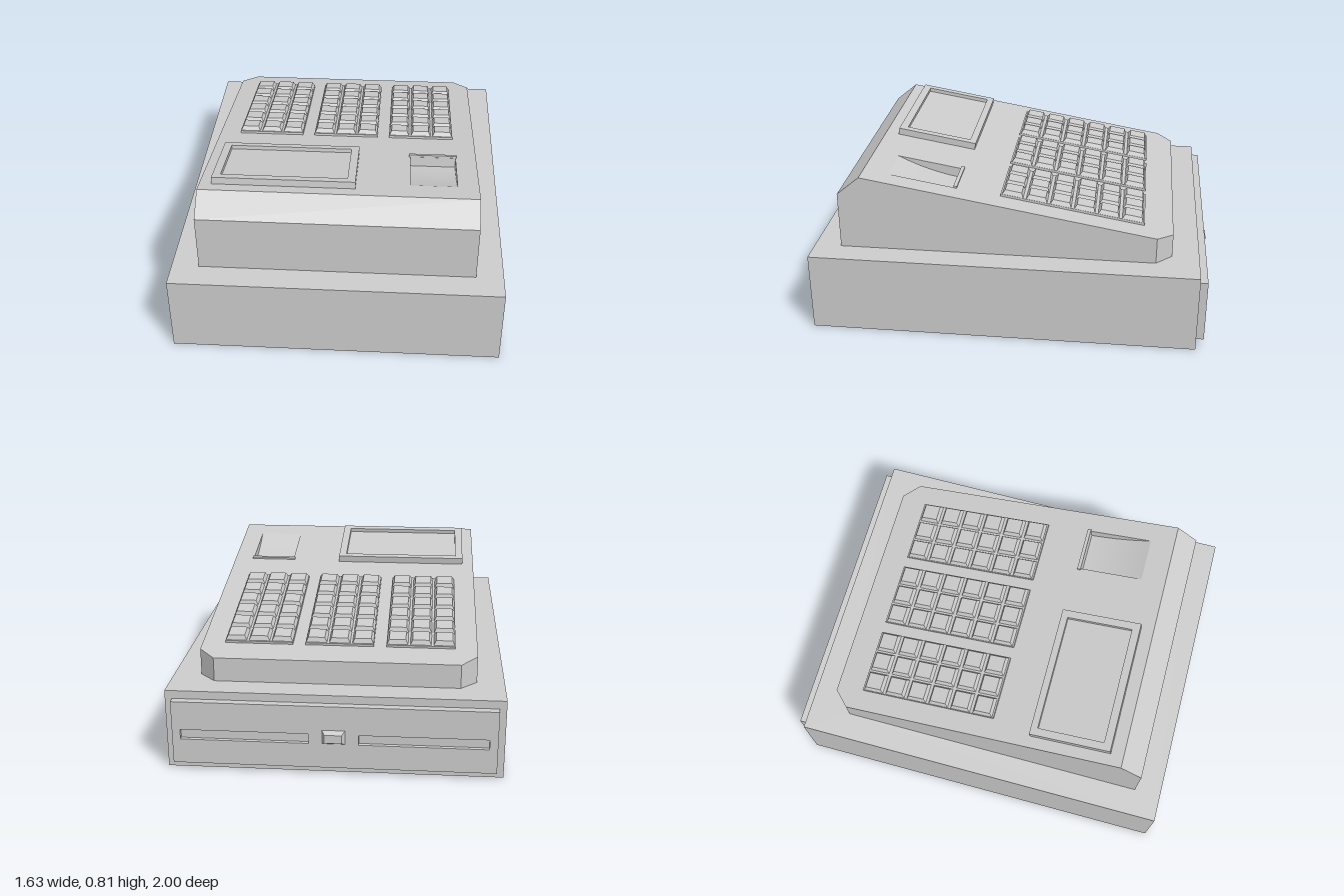
import * as THREE from 'three';

const grey = new THREE.MeshStandardMaterial({ color: 0xcccccc, side: THREE.DoubleSide });

function add(parent, name, geometry, x = 0, y = 0, z = 0) {
  const mesh = new THREE.Mesh(geometry, grey);
  mesh.name = name;
  mesh.position.set(x, y, z);
  parent.add(mesh);
  return mesh;
}

// Flat-faced sheet from convex polygons, each a list of [x, y, z] corners
function sheet(polygons) {
  const pos = [];
  for (const p of polygons)
    for (let i = 1; i < p.length - 1; i++) pos.push(...p[0], ...p[i], ...p[i + 1]);
  const g = new THREE.BufferGeometry();
  g.setAttribute('position', new THREE.Float32BufferAttribute(pos, 3));
  g.computeVertexNormals();
  return g;
}

// Vertical wall standing on a closed plan outline of [x, z] points (clockwise from above = outward)
function wall(outline, y0, y1) {
  return sheet(outline.map(([x, z], i) => {
    const [u, w] = outline[(i + 1) % outline.length];
    return [[x, y0, z], [u, y0, w], [u, y1, w], [x, y1, z]];
  }));
}

const rect = (x0, x1, z0, z1) => [[x0, z1], [x1, z1], [x1, z0], [x0, z0]];

// Horizontal plate with holes, facing up
function plate(outline, holes = []) {
  const flat = (pts) => pts.map(([x, z]) => new THREE.Vector2(x, -z));
  const shape = new THREE.Shape(flat(outline));
  shape.holes = holes.map((h) => new THREE.Path(flat(h)));
  return new THREE.ShapeGeometry(shape).rotateX(-Math.PI / 2);
}

// Box standing on y = 0 whose top is inset on all sides
function frustum(w, h, d, inset) {
  const g = new THREE.BoxGeometry(w, h, d).translate(0, h / 2, 0);
  const p = g.attributes.position;
  for (let i = 0; i < p.count; i++)
    if (p.getY(i) > h / 2)
      p.setXYZ(i, p.getX(i) - Math.sign(p.getX(i)) * inset, h, p.getZ(i) - Math.sign(p.getZ(i)) * inset);
  g.computeVertexNormals();
  return g;
}

export function createModel() {
  const model = new THREE.Group();
  model.name = 'cashRegister';

  // Base shell, open underneath
  const X = 0.815, H = 0.4;
  const baseOutline = rect(-X, X, -0.935, 1);
  const plan = [[-0.68, 0.865], [0.68, 0.865], [0.68, -0.72], [0.6, -0.8], [-0.6, -0.8], [-0.68, -0.72]];
  add(model, 'baseWalls', wall(baseOutline, 0, H));
  add(model, 'baseTop', plate(baseOutline, [plan]), 0, H, 0);

  // Housing walls below the sloping panel
  const slope = (0.785 - 0.52) / 1.55;
  const top = (z) => 0.785 + (z - 0.75) * slope;
  const side = [[0.865, H], [0.865, 0.69], [0.75, 0.785], [-0.72, top(-0.72)], [-0.72, H]];
  const right = side.map(([z, y]) => [0.68, y, z]).reverse();
  const left = side.map(([z, y]) => [-0.68, y, z]);
  const corner = (s) => {
    const p = [[s * 0.68, H, -0.72], [s * 0.6, H, -0.8], [s * 0.6, top(-0.8), -0.8], [s * 0.68, top(-0.72), -0.72]];
    return s > 0 ? p : p.reverse();
  };
  add(model, 'housingWalls', sheet([
    right.reverse(), left.reverse(), corner(1), corner(-1),
    [[-0.68, H, 0.865], [0.68, H, 0.865], [0.68, 0.69, 0.865], [-0.68, 0.69, 0.865]],
    [[-0.68, 0.69, 0.865], [0.68, 0.69, 0.865], [0.68, 0.785, 0.75], [-0.68, 0.785, 0.75]],
    [[0.6, H, -0.8], [-0.6, H, -0.8], [-0.6, top(-0.8), -0.8], [0.6, top(-0.8), -0.8]],
  ]));

  // Sloping control panel, built flat and then tilted
  const angle = Math.atan(slope), k = 1 / Math.cos(angle);
  const panel = new THREE.Group();
  panel.name = 'controlPanel';
  panel.position.y = top(0);
  panel.rotation.x = -angle;
  model.add(panel);
  const outer = rect(-0.62, 0.08, 0.27 * k, 0.685 * k);
  const inner = rect(-0.58, 0.04, 0.305 * k, 0.645 * k);
  const s0 = 0.298 * k, s1 = 0.625 * k, px0 = 0.345, px1 = 0.575;
  const slopePlan = [[-0.68, 0.75], [0.68, 0.75], ...plan.slice(2)].map(([x, z]) => [x, z * k]);
  add(panel, 'panelSurface', plate(slopePlan, [outer, rect(px0, px1, s0, s1)]));

  // Display: raised bezel with a sunken screen
  add(panel, 'bezelSides', wall(outer, 0, 0.035));
  add(panel, 'bezelFace', plate(outer, [inner]), 0, 0.035, 0);
  add(panel, 'bezelInside', wall([...inner].reverse(), 0.015, 0.035));
  add(panel, 'screen', plate(inner), 0, 0.015, 0);

  // Receipt outlet: curved scoop, deepest at the tear bar
  const n = 12, depth = (t) => -0.05 * (1 - t * t);
  const floor = new THREE.PlaneGeometry(px1 - px0, s1 - s0, 1, n).rotateX(-Math.PI / 2);
  floor.translate((px0 + px1) / 2, 0, (s0 + s1) / 2);
  const fp = floor.attributes.position;
  for (let i = 0; i < fp.count; i++) fp.setY(i, depth((fp.getZ(i) - s0) / (s1 - s0)));
  floor.computeVertexNormals();
  add(panel, 'receiptScoop', floor);
  const sides = [[[px0, depth(0), s0], [px1, depth(0), s0], [px1, 0, s0], [px0, 0, s0]]];
  for (let i = 0; i < n; i++) {
    const a = i / n, b = (i + 1) / n, za = s0 + a * (s1 - s0), zb = s0 + b * (s1 - s0);
    sides.push([[px0, depth(a), za], [px0, 0, za], [px0, 0, zb], [px0, depth(b), zb]]);
    sides.push([[px1, depth(a), za], [px1, depth(b), zb], [px1, 0, zb], [px1, 0, za]]);
  }
  add(panel, 'receiptScoopSides', sheet(sides));
  add(panel, 'tearBar', new THREE.BoxGeometry(0.245, 0.01, 0.018), 0.458, 0.006, 0.29 * k);

  // Three key blocks of three by six keys
  const key = frustum(0.104, 0.022, 0.106, 0.011);
  for (const cx of [-0.403, -0.003, 0.397]) {
    const block = new THREE.Group();
    block.name = 'keyBlock';
    block.position.set(cx, 0.001, -0.295 * k);
    panel.add(block);
    add(block, 'keyTray', new THREE.BoxGeometry(0.338, 0.012, 0.72 * k), 0, 0.006, 0);
    for (let c = -1; c <= 1; c++)
      for (let r = -2.5; r <= 2.5; r++) add(block, 'key', key, c * 0.115, 0.012, r * 0.12 * k);
  }

  // Cash drawer front with two long slots
  const face = new THREE.Shape([[-0.78, 0.04], [0.78, 0.04], [0.78, 0.36], [-0.78, 0.36]].map((p) => new THREE.Vector2(...p)));
  for (const s of [-1, 1]) {
    const slot = [[0.12, 0.165], [0.12, 0.215], [0.74, 0.215], [0.74, 0.165]];
    face.holes.push(new THREE.Path(slot.map(([x, y]) => new THREE.Vector2(s * x, y))));
  }
  add(model, 'drawerFace', new THREE.ExtrudeGeometry(face, { depth: 0.02, bevelEnabled: false }), 0, 0, -0.975);
  add(model, 'drawerPlate', new THREE.BoxGeometry(1.56, 0.32, 0.019), 0, 0.2, -0.9455);

  // Drawer latch
  const latch = add(model, 'drawerLatch', frustum(0.11, 0.025, 0.07, 0.014), 0, 0.202, -0.975);
  latch.rotation.x = -Math.PI / 2;

  return model;
}
